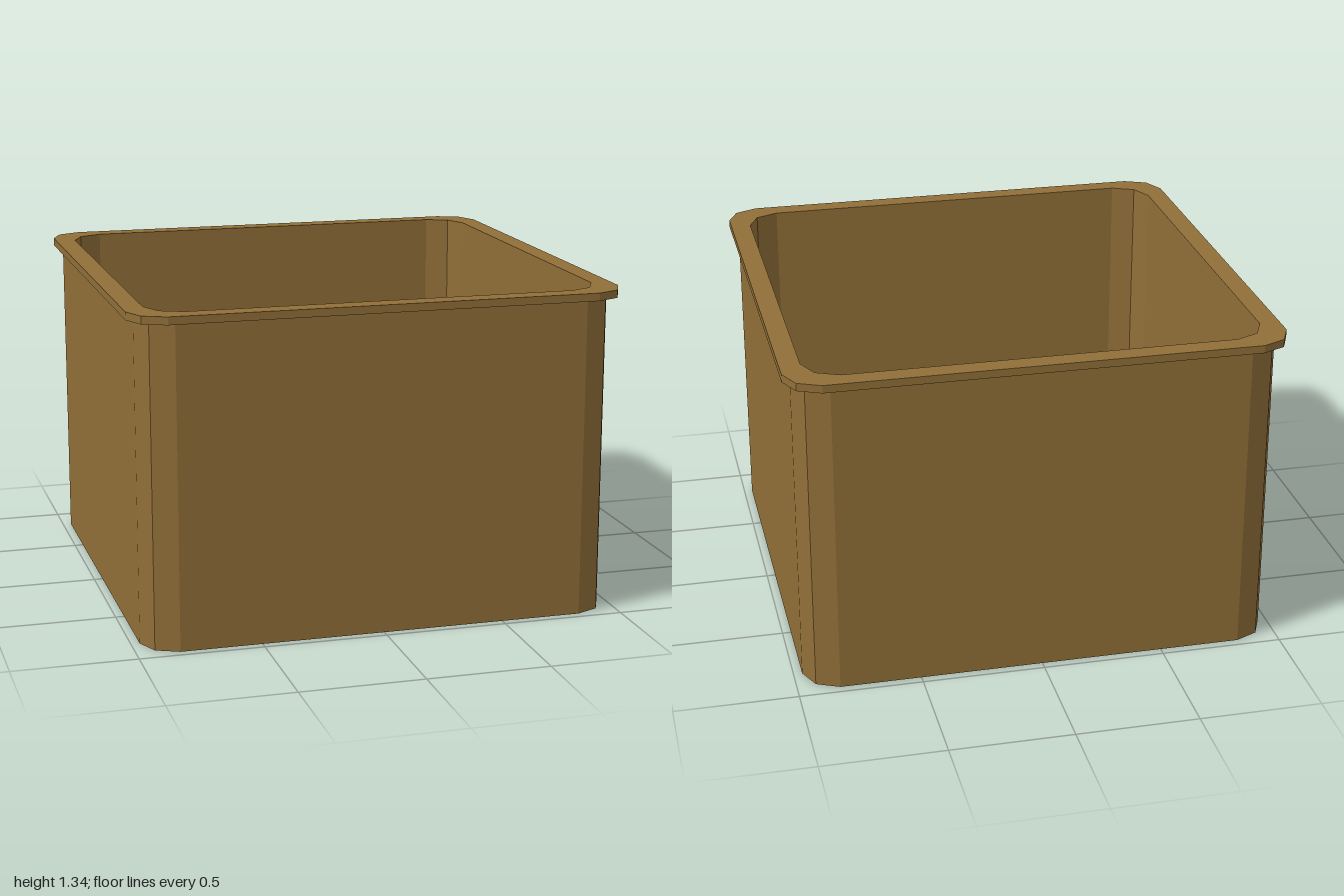
import * as THREE from 'three';

const CUT = 0.135; // how far a corner eats into each side
const MID = 0.042; // inset of the corner's middle point

// Square outline with two-facet rounded corners
function cornerPoints(half) {
  const quarter = [[half, half - CUT], [half - MID, half - MID], [half - CUT, half]];
  const points = [];
  for (let i = 0; i < 4; i++) {
    const c = Math.round(Math.cos(i * Math.PI / 2));
    const s = Math.round(Math.sin(i * Math.PI / 2));
    for (const [x, y] of quarter) points.push(new THREE.Vector2(x * c - y * s, x * s + y * c));
  }
  return points;
}

// Upright slab or ring between two heights
function slab(name, material, outer, inner, y0, y1) {
  const shape = new THREE.Shape(cornerPoints(outer));
  if (inner) shape.holes.push(new THREE.Path(cornerPoints(inner)));
  const geometry = new THREE.ExtrudeGeometry(shape, { depth: y1 - y0, bevelEnabled: false });
  geometry.rotateX(-Math.PI / 2);
  geometry.translate(0, y0, 0);
  const mesh = new THREE.Mesh(geometry, material);
  mesh.name = name;
  return mesh;
}

export function createModel() {
  const group = new THREE.Group();
  group.name = 'openBox';
  const material = new THREE.MeshStandardMaterial({ color: 0x916f38 });

  group.add(
    slab('walls', material, 0.965, 0.917, 0, 1.305),
    slab('floor', material, 0.917, null, 0, 0.045),
    slab('rim', material, 1, 0.917, 1.305, 1.337) // overhanging lip
  );
  return group;
}
